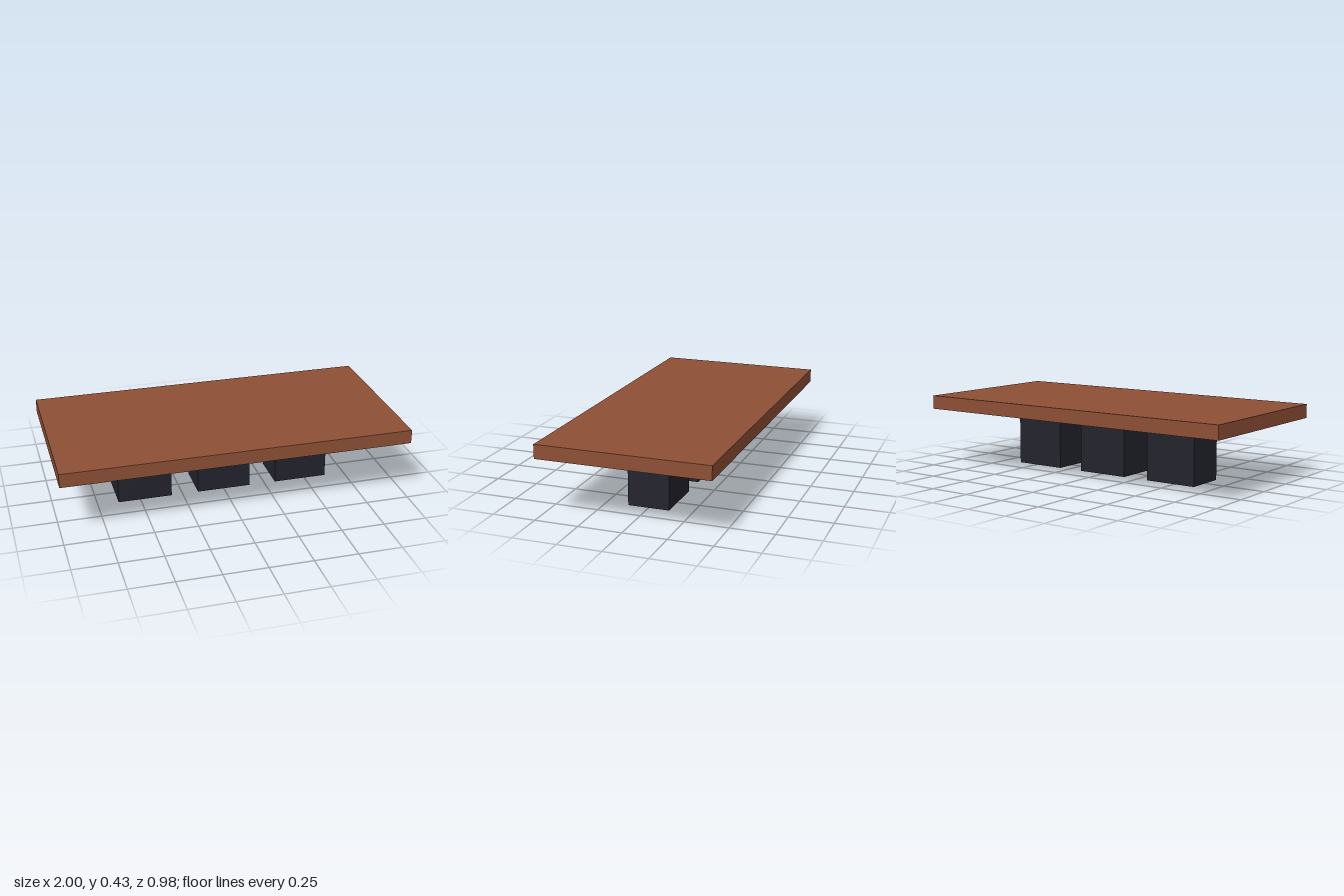
import * as THREE from 'three';

export function createModel() {
  const model = new THREE.Group();
  model.name = 'table';

  const wood = new THREE.MeshStandardMaterial({ color: 0x8d4f35 });
  wood.name = 'brown wood';
  const dark = new THREE.MeshStandardMaterial({ color: 0x23232d });
  dark.name = 'dark charcoal';

  const legHeight = 0.345;
  const topThickness = 0.08;

  // Flat slab top
  const top = new THREE.Mesh(new THREE.BoxGeometry(2, topThickness, 0.978), wood);
  top.name = 'tableTop';
  top.position.y = legHeight + topThickness / 2;
  model.add(top);

  // Three block supports in a row
  const legGeometry = new THREE.BoxGeometry(0.314, legHeight, 0.24);
  ['rightSupport', 'middleSupport', 'leftSupport'].forEach((name, i) => {
    const leg = new THREE.Mesh(legGeometry, dark);
    leg.name = name;
    leg.position.set((i - 1) * 0.472, legHeight / 2, 0);
    model.add(leg);
  });

  return model;
}
